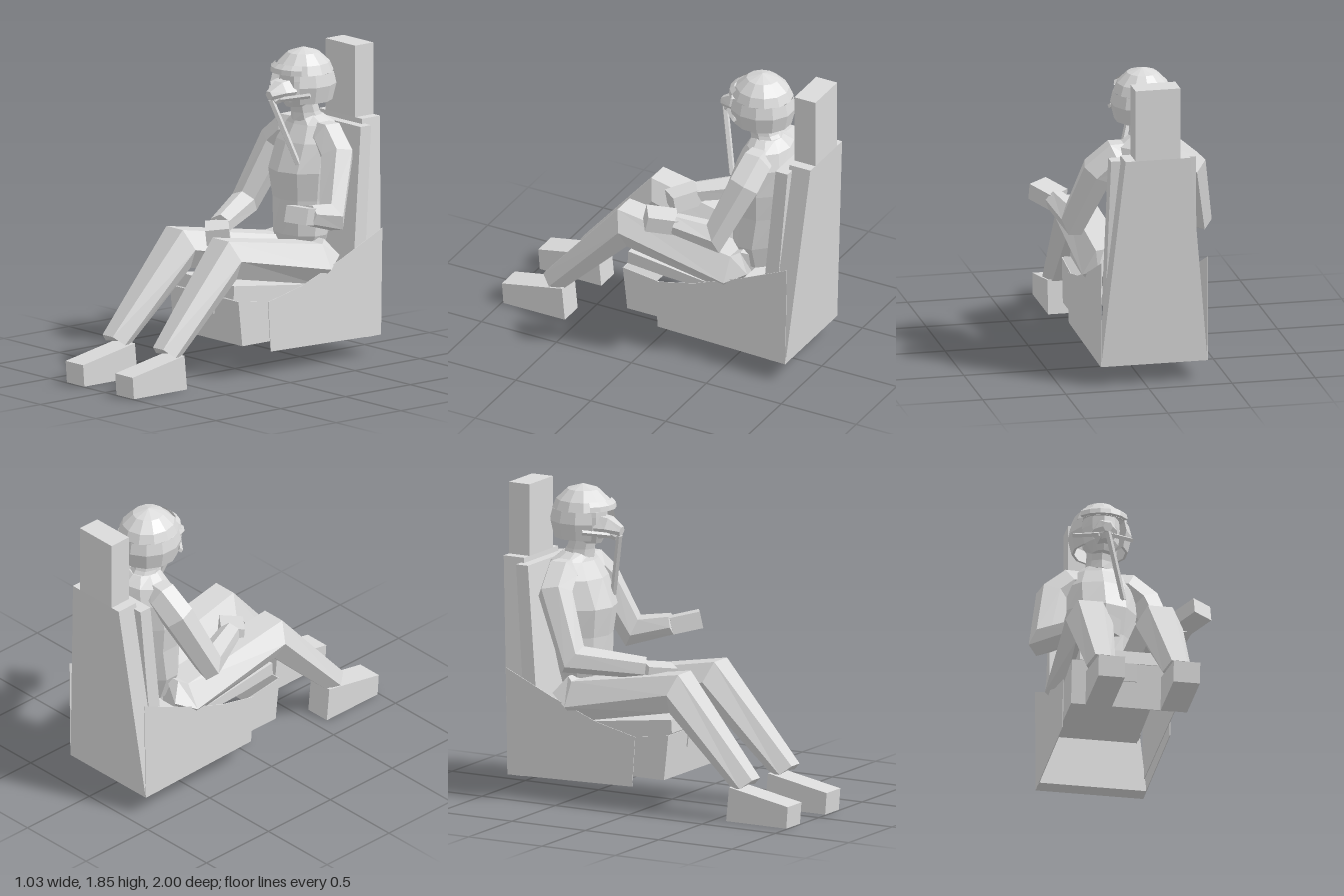
import * as THREE from 'three';

const grey = new THREE.MeshStandardMaterial({ color: 0xdadada, side: THREE.DoubleSide, flatShading: true });
grey.name = 'light grey';
const V = (x, y, z) => new THREE.Vector3(x, y, z);

function mesh(name, geometry, parent) {
  const m = new THREE.Mesh(geometry, grey);
  m.name = name;
  parent.add(m);
  return m;
}

// Skin through equal-sized rings of points, with both ends closed
function loft(rings) {
  const pos = [], n = rings[0].length;
  const tri = (...p) => p.forEach(v => pos.push(v.x, v.y, v.z));
  for (let i = 0; i < rings.length - 1; i++) {
    for (let j = 0; j < n; j++) {
      const k = (j + 1) % n, a = rings[i], b = rings[i + 1];
      tri(a[j], a[k], b[k]);
      tri(a[j], b[k], b[j]);
    }
  }
  const first = rings[0], last = rings[rings.length - 1];
  for (let j = 1; j < n - 1; j++) {
    tri(first[0], first[j + 1], first[j]);
    tri(last[0], last[j], last[j + 1]);
  }
  const g = new THREE.BufferGeometry();
  g.setAttribute('position', new THREE.Float32BufferAttribute(pos, 3));
  g.computeVertexNormals();
  return g;
}

// Horizontal rings from [y, half width, front z, back z]
const oval = (n) => ([y, hw, zf, zb]) => Array.from({ length: n }, (_, j) => {
  const a = Math.PI / 2 + j / n * Math.PI * 2;
  return V(hw * Math.cos(a), y, (zf + zb) / 2 - (zf - zb) / 2 * Math.sin(a));
});
const rect = ([y, hw, zf, zb]) => [V(hw, y, zf), V(hw, y, zb), V(-hw, y, zb), V(-hw, y, zf)];

// Side outline of [z, y] points, extruded across the width
function panel(points, width, x = 0) {
  const shape = new THREE.Shape(points.map(([z, y]) => new THREE.Vector2(z, y)));
  const g = new THREE.ExtrudeGeometry(shape, { depth: width, bevelEnabled: false });
  return g.translate(0, 0, -width / 2).rotateY(-Math.PI / 2).translate(x, 0, 0);
}

// Many-sided tube through points, mitred at the joints without twisting
function limb(path, radii, sides = 6) {
  const dirs = path.slice(1).map((p, i) => p.clone().sub(path[i]).normalize());
  const u = Math.abs(dirs[0].z) < 0.8 ? V(0, 0, 1) : V(1, 0, 0);
  u.addScaledVector(dirs[0], -u.dot(dirs[0])).normalize();
  const rings = path.map((p, i) => {
    const din = dirs[Math.max(i - 1, 0)], dout = dirs[Math.min(i, dirs.length - 1)];
    const d = din.clone().add(dout).normalize(), w = din.clone().cross(u);
    const ring = Array.from({ length: sides }, (_, j) => {
      const a = j / sides * Math.PI * 2;
      const o = u.clone().multiplyScalar(radii[i] * Math.cos(a)).addScaledVector(w, radii[i] * Math.sin(a));
      return o.addScaledVector(din, -o.dot(d) / din.dot(d)).add(p);
    });
    u.applyQuaternion(new THREE.Quaternion().setFromUnitVectors(din, dout));
    return ring;
  });
  return loft(rings);
}

function buildSeat(root) {
  const seat = new THREE.Group();
  seat.name = 'seat';
  root.add(seat);
  mesh('headrest', panel([[-1, 1.4], [-0.86, 1.4], [-0.86, 1.83], [-1, 1.83]], 0.27), seat);
  mesh('backFrame', loft([[0.12, 0.32, -0.79, -0.9], [1.4, 0.195, -0.86, -1]].map(rect)), seat);
  mesh('backCushion', loft([[0.45, 0.275, -0.72, -0.81], [1.37, 0.255, -0.8, -0.88]].map(rect)), seat);
  mesh('seatCushion', panel([[0.185, 0.475], [0.18, 0.555], [-0.3, 0.495], [-0.78, 0.46], [-0.78, 0.42], [-0.05, 0.455]], 0.52), seat);
  mesh('frontHandle', panel([[0.17, 0.36], [0.185, 0.36], [0.197, 0.47], [0.18, 0.47]], 0.16), seat);

  // Seat pan is an open frame: a front wall and two side walls
  mesh('panFront', panel([[0.155, 0.2], [0.16, 0.2], [0.19, 0.47], [0.185, 0.47]], 0.62), seat);
  const wall = [[0.16, 0.2], [0.19, 0.47], [-0.04, 0.44], [-0.8, 0.42], [-0.8, 0.2]];
  const wing = [[-0.03, 0.44], [-0.05, 0.14], [-0.9, 0.12], [-0.91, 0.76], [-0.6, 0.62], [-0.29, 0.5]];
  for (const s of [1, -1]) {
    const side = s > 0 ? 'left' : 'right';
    mesh(side + 'PanWall', panel(wall, 0.004, s * 0.308), seat);
    mesh(side + 'SidePanel', panel(wing, 0.004, s * 0.32), seat);
  }
}

function buildLegs(body) {
  // [centre x, half width, then y, z of the top, middle and bottom edges]
  const stations = [
    [0.165, 0.11, 0.73, -0.545, 0.63, -0.62, 0.55, -0.56],
    [0.172, 0.17, 0.71, -0.5, 0.57, -0.5, 0.475, -0.46],
    [0.208, 0.142, 0.835, 0.24, 0.72, 0.2, 0.6, 0.18],
    [0.228, 0.088, 0.255, 0.74, 0.205, 0.68, 0.195, 0.6],
  ];
  for (const s of [1, -1]) {
    const side = s > 0 ? 'left' : 'right';
    const rings = stations.map(([cx, hw, ty, tz, my, mz, by, bz]) => {
      const x = s * cx, t = hw * 0.52;
      return [V(x + t, ty, tz), V(x - t, ty, tz), V(x - hw, my, mz),
        V(x - t, by, bz), V(x + t, by, bz), V(x + hw, my, mz)];
    });
    mesh(side + 'Leg', loft(rings), body);
    mesh(side + 'Shoe', panel([[0.58, 0], [0.99, 0], [1, 0.13], [0.6, 0.205]], 0.158, s * 0.224), body);
  }
}

function buildArms(body) {
  const arms = [
    { side: 'left', s: 1, elbow: V(0.385, 0.9, -0.46), wrist: V(0.445, 0.955, -0.23),
      hand: V(0.47, 0.97, -0.15), aim: V(0.51, 1.005, -0.01), size: [0.135, 0.1, 0.18], roll: -0.1 },
    { side: 'right', s: -1, elbow: V(-0.36, 0.87, -0.43), wrist: V(-0.15, 0.82, -0.06),
      hand: V(-0.1, 0.79, 0), aim: V(-0.035, 0.77, 0.1), size: [0.14, 0.1, 0.18], roll: 0.1 },
  ];
  for (const { side, s, elbow, wrist, hand, aim, size, roll } of arms) {
    const path = [V(s * 0.1, 1.335, -0.62), V(s * 0.17, 1.325, -0.62), V(s * 0.275, 1.23, -0.6), elbow, wrist];
    mesh(side + 'Arm', limb(path, [0.085, 0.1, 0.103, 0.085, 0.065]), body);
    const h = mesh(side + 'Hand', new THREE.BoxGeometry(...size), body);
    h.position.copy(hand);
    h.lookAt(aim);
    h.rotateZ(roll);
  }
}

function buildHead(body) {
  const head = new THREE.Group();
  head.name = 'head';
  body.add(head);
  mesh('neck', loft([[1.41, 0.09, -0.5, -0.72], [1.46, 0.08, -0.5, -0.68], [1.56, 0.078, -0.48, -0.64]].map(oval(8))), head);
  mesh('face', loft([[1.5, 0.06, -0.45, -0.62], [1.56, 0.105, -0.42, -0.68],
    [1.66, 0.115, -0.42, -0.7], [1.72, 0.11, -0.42, -0.7]].map(oval(10))), head);

  // Helmet: full crown above, open at the face below
  const lathe = (pts, n, start, length) => new THREE.LatheGeometry(
    pts.map(([r, y]) => new THREE.Vector2(r, y)), n, start, length).scale(1, 1, 1.07).translate(0, 0, -0.575);
  mesh('helmetCrown', lathe([[0.172, 1.7], [0.15, 1.755], [0.09, 1.815], [0, 1.845]], 12, 0, Math.PI * 2), head);
  mesh('helmetShell', lathe([[0.15, 1.53], [0.165, 1.53], [0.188, 1.63], [0.172, 1.7]], 9,
    Math.PI * 0.25, Math.PI * 1.5), head);
  mesh('brow', lathe([[0.16, 1.7], [0.188, 1.705], [0.184, 1.735], [0.158, 1.76]], 5,
    -Math.PI * 0.27, Math.PI * 0.54), head);

  // Breathing mask with straps and hose
  mesh('mask', limb([V(0, 1.6, -0.46), V(0, 1.6, -0.39), V(0, 1.585, -0.31)], [0.08, 0.068, 0.03]), head);
  mesh('maskChin', limb([V(0, 1.59, -0.4), V(0, 1.55, -0.335)], [0.055, 0.03]), head);
  for (const s of [1, -1]) {
    mesh(s > 0 ? 'leftStrap' : 'rightStrap',
      limb([V(s * 0.04, 1.56, -0.37), V(s * 0.175, 1.59, -0.48)], [0.015, 0.015], 4), head);
  }
  mesh('hose', limb([V(0, 1.56, -0.325), V(0.115, 1.175, -0.435)], [0.019, 0.019], 5), head);
}

export function createModel() {
  const root = new THREE.Group();
  root.name = 'seatedPilot';
  root.position.x = -0.055;
  buildSeat(root);

  const body = new THREE.Group();
  body.name = 'pilot';
  root.add(body);
  mesh('torso', loft([
    [0.59, 0.13, -0.45, -0.67], [0.74, 0.19, -0.41, -0.7], [0.95, 0.195, -0.4, -0.755],
    [1.12, 0.22, -0.375, -0.785], [1.29, 0.215, -0.44, -0.79], [1.39, 0.165, -0.5, -0.76],
    [1.44, 0.085, -0.52, -0.7],
  ].map(oval(10))), body);
  buildLegs(body);
  buildArms(body);
  buildHead(body);

  const model = new THREE.Group();
  model.name = 'model';
  model.add(root);
  return model;
}
